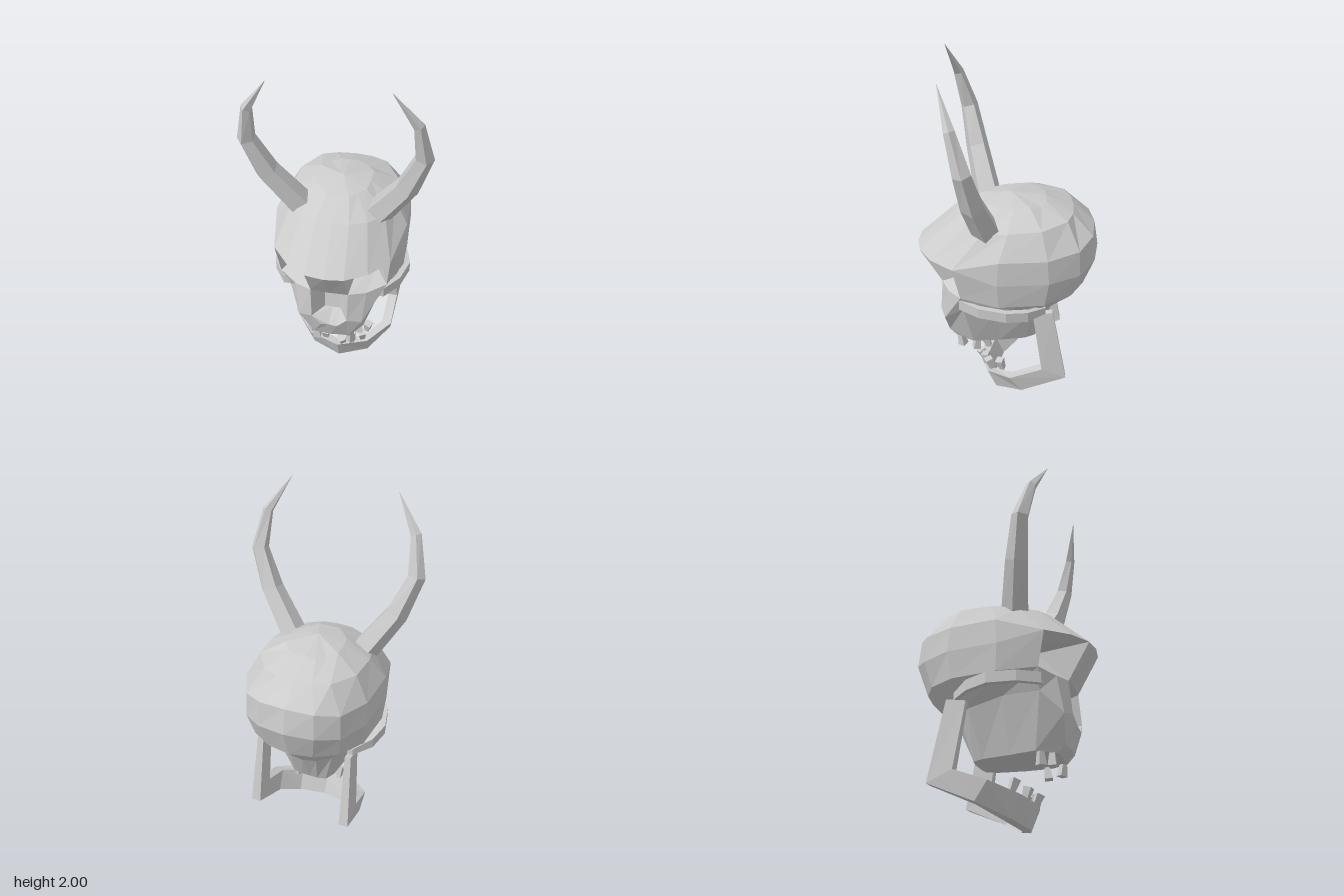
import * as THREE from 'three';

const V = (x, y, z) => new THREE.Vector3(x, y, z);
const bone = new THREE.MeshStandardMaterial({ color: 0xcccccc, flatShading: true, side: THREE.DoubleSide });
bone.name = 'bone';

// Flat faceted geometry from polygons (arrays of Vector3, fanned into triangles)
function polyGeometry(polys) {
  const pos = [];
  for (const p of polys)
    for (let i = 1; i < p.length - 1; i++) {
      const [a, b, c] = [p[0], p[i], p[i + 1]];
      if (V().crossVectors(b.clone().sub(a), c.clone().sub(a)).length() < 1e-7) continue;
      for (const v of [a, b, c]) pos.push(v.x, v.y, v.z);
    }
  const g = new THREE.BufferGeometry();
  g.setAttribute('position', new THREE.Float32BufferAttribute(pos, 3));
  g.computeVertexNormals();
  return g;
}

function part(name, geometry) {
  const m = new THREE.Mesh(geometry, bone);
  m.name = name;
  return m;
}

// Closed solid through matching rings, capped and turned outward by its signed volume
function solid(rings) {
  const polys = [rings[0].slice().reverse(), rings[rings.length - 1]];
  for (let r = 0; r < rings.length - 1; r++)
    rings[r].forEach((p, i) => {
      const j = (i + 1) % rings[r].length;
      polys.push([p, rings[r][j], rings[r + 1][j], rings[r + 1][i]]);
    });
  let vol = 0;
  for (const p of polys)
    for (let i = 1; i < p.length - 1; i++) vol += p[0].dot(V().crossVectors(p[i], p[i + 1]));
  return polyGeometry(vol < 0 ? polys.map((p) => p.slice().reverse()) : polys);
}

const mirror = (p, s) => V(p.x * s, p.y, p.z);

// Half polygons are listed clockwise on the +x side; both halves are made here
function symmetric(polys) {
  return polyGeometry(polys.flatMap((p) => [p.slice().reverse(), p.map((v) => mirror(v, -1))]));
}

function band(rows, first = 0) {
  const out = [];
  for (let r = 0; r < rows.length - 1; r++)
    for (let i = first; i < rows[r].length - 1; i++)
      out.push([rows[r][i], rows[r][i + 1], rows[r + 1][i + 1], rows[r + 1][i]]);
  return out;
}

const toRow = (row) => row.map((p) => V(...p));

// Half rows run from the front centre, round the side, to the back centre
const upper = [
  [[0, 1.24, .13], [.06, 1.24, .13], [.1, 1.24, .09], [.14, 1.24, .04], [.15, 1.245, -.03], [.15, 1.25, -.12], [.11, 1.24, -.18], [.06, 1.245, -.21], [0, 1.25, -.21]],
  [[0, 1.165, .285], [.09, 1.165, .275], [.18, 1.16, .23], [.26, 1.15, .14], [.29, 1.17, 0], [.28, 1.18, -.18], [.19, 1.19, -.32], [.1, 1.19, -.355], [0, 1.19, -.365]],
  [[0, .965, .505], [.105, .965, .49], [.22, .965, .42], [.32, .965, .3], [.37, 1.04, .05], [.355, 1.04, -.21], [.27, 1.05, -.385], [.155, 1.08, -.465], [0, 1.09, -.485]],
].map(toRow);
// Lower rows cover only the side and back
const lower = [
  [[.32, .965, .3], [.378, .9, .06], [.36, .9, -.22], [.275, .9, -.39], [.16, .93, -.48], [0, .94, -.51]],
  [[.3, .77, .26], [.362, .75, .05], [.34, .75, -.2], [.25, .755, -.35], [.13, .76, -.425], [0, .76, -.45]],
  [[.25, .66, .25], [.24, .66, .05], [.22, .62, -.15], [.16, .6, -.22], [.08, .58, -.26], [0, .57, -.27]],
  [[.165, .37, .2], [.15, .365, .05], [.13, .365, -.1], [.1, .365, -.16], [.05, .365, -.17], [0, .365, -.17]],
].map(toRow);

function makeCranium() {
  const apex = upper[0].map(() => V(0, 1.275, -.02));
  return part('cranium', symmetric([
    ...band([apex, ...upper]),
    ...band([upper[2].slice(3), lower[0]]),
    ...band(lower),
  ]));
}

function makeFace() {
  const [brow0, brow1, brow2, brow3] = upper[2];
  const rim = lower[1][0], cheek = lower[2][0], base = lower[3];
  const n0 = V(0, .755, .375), n1 = V(.105, .755, .37), ck = V(.2, .75, .33);
  // eye socket back wall
  const p1 = V(.12, .93, .2), p2 = V(.25, .92, .2), p3 = V(.23, .82, .18), p4 = V(.13, .83, .2);
  // nose opening and its back wall
  const r1 = V(.1, .57, .385), r2 = V(.045, .52, .39), c2 = V(0, .525, .39);
  const b0 = V(0, .69, .27), b1 = V(.045, .69, .27), b2 = V(.045, .57, .29), b3 = V(0, .57, .29);
  // upper jaw
  const t = V(.18, .55, .36), u0 = V(0, .41, .35), u1 = V(.1, .41, .34);
  const w0 = V(0, .365, .3), w1 = V(.1, .365, .3);
  const g = new THREE.Group();
  g.name = 'face';
  g.add(
    part('noseBridge', symmetric([[brow0, brow1, n1, n0]])),
    part('eyeSockets', symmetric([
      [brow1, brow2, p2, p1], [brow2, brow3, p2], [brow3, rim, p3, p2], [rim, ck, p3],
      [ck, n1, p4, p3], [n1, brow1, p1, p4], [p1, p2, p3, p4],
    ])),
    part('noseOpening', symmetric([
      [n0, n1, b1, b0], [n1, r1, b2, b1], [r1, r2, c2, b3, b2], [b0, b1, b2, b3],
    ])),
    part('upperJaw', symmetric([
      [n1, ck, t, r1], [ck, rim, cheek, t], [c2, r2, u1, u0], [r1, u1, r2], [r1, t, u1],
      [t, cheek, base[0], u1], [u1, base[0], w1], [u0, u1, w1, w0], [w0, w1, ...base],
    ])),
  );
  return g;
}

// Cheek arch: flat bar bowed out from the cheek to the jaw joint
function makeArch(s) {
  const path = [[.27, .715, .27], [.345, .712, .16], [.38, .705, .01], [.35, .69, -.11], [.265, .672, -.21]];
  return part('cheekArch', solid(path.map(([x, y, z], i) => {
    const h = i === 4 ? .02 : .03, w = .016;
    return [[-w, -h], [w, -h], [w, h], [-w, h]].map(([dx, dy]) => V((x + dx) * s, y + dy, z));
  })));
}

// Horn: five-sided tapering sweep
function makeHorn(s) {
  const path = [[.19, 1.12, .105], [.23, 1.17, .12], [.37, 1.38, .175], [.455, 1.6, .22], [.422, 1.81, .275], [.3, 2, .335]].map((p) => V(...p));
  const radii = [.08, .079, .067, .05, .03, .001];
  return part('horn', solid(path.map((p, i) => {
    const dir = path[Math.min(i + 1, 5)].clone().sub(path[Math.max(i - 1, 0)]).normalize();
    const side = V().crossVectors(dir, V(0, 0, 1)).normalize();
    const front = V().crossVectors(side, dir);
    return Array.from({ length: 5 }, (_, k) => {
      const a = k * Math.PI * 2 / 5;
      return mirror(p.clone().addScaledVector(side, Math.cos(a) * radii[i]).addScaledVector(front, Math.sin(a) * radii[i]), s);
    });
  })));
}

// Lower jaw: [lower edge, upper edge, inward shift x, z] from joint to chin
function makeJaw() {
  const half = [
    [[.285, .66, -.25], [.285, .64, -.14], -.035, 0],
    [[.307, .21, -.335], [.307, .27, -.195], -.055, 0],
    [[.29, .1, -.08], [.3, .2, -.01], -.055, -.015],
    [[.17, .03, .07], [.175, .15, .12], -.025, -.045],
    [[0, .003, .125], [0, .13, .17], 0, -.05],
  ].map(([lo, up, dx, dz]) => {
    const inward = V(dx, 0, dz), a = V(...lo), b = V(...up);
    return [a, a.clone().add(inward), b.clone().add(inward), b];
  });
  const other = half.slice(0, 4).reverse().map((r) => r.map((p) => mirror(p, -1)));
  return part('lowerJaw', solid([...half, ...other]));
}

// Teeth: four-sided stubs, wider at the crown
function makeTeeth(name, spots, h, flip, tilt) {
  const g = new THREE.Group();
  g.name = name;
  spots.forEach(([x, y, z], i) => {
    const m = part('tooth', new THREE.CylinderGeometry(.031, .02, h, 4));
    m.position.set(x, y, z);
    m.rotation.set(flip + tilt, i * .7, (i % 3 - 1) * .15);
    g.add(m);
  });
  return g;
}

export function createModel() {
  const model = new THREE.Group();
  model.name = 'hornedSkull';
  model.add(makeCranium(), makeFace(), makeJaw());
  for (const s of [1, -1]) model.add(makeArch(s), makeHorn(s));
  model.add(
    makeTeeth('upperTeeth', [[-.14, .335, .22], [-.1, .335, .27], [.1, .335, .27], [.135, .335, .18]], .07, Math.PI, 0),
    makeTeeth('lowerTeeth', [[-.18, .19, .085], [-.08, .17, .125], [.025, .16, .15], [.08, .17, .13], [.14, .18, .105], [.165, .195, .04]], .075, 0, .3),
  );
  return model;
}
